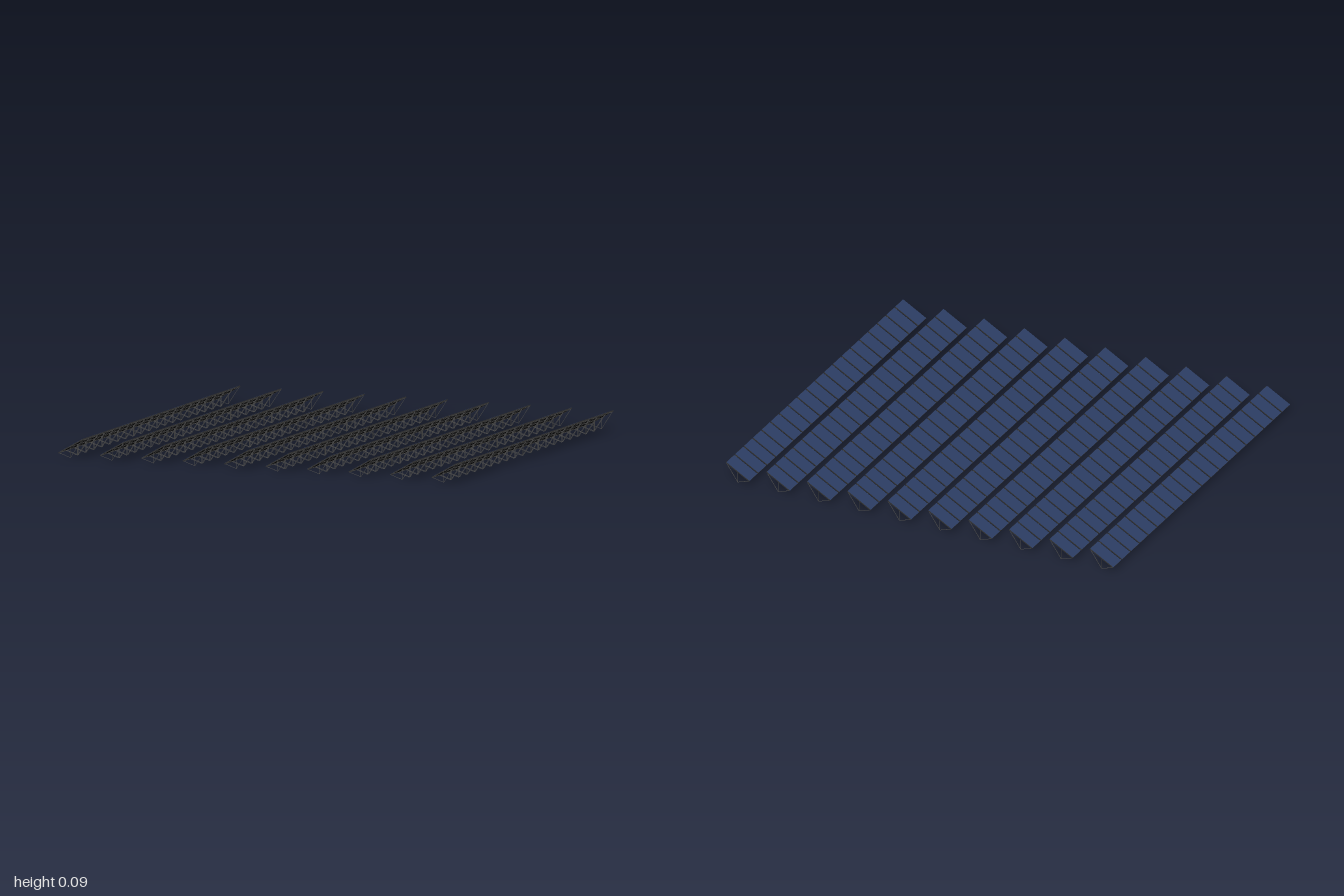
import * as THREE from 'three';

const ROWS = 10, PER_ROW = 20;
const ROW_PITCH = 0.2087, PANEL_PITCH = 0.0904;
const LENGTH = 0.139, DEPTH = 0.081, THICK = 0.005, TILT = Math.PI / 6;
const CENTRE_Y = 0.054, STRUT = 0.0018;

function rectangle(path, w, h) {
  path.moveTo(-w / 2, -h / 2);
  path.lineTo(w / 2, -h / 2);
  path.lineTo(w / 2, h / 2);
  path.lineTo(-w / 2, h / 2);
  path.closePath();
  return path;
}

function material(name, color) {
  const mat = new THREE.MeshStandardMaterial({ color });
  mat.name = name;
  return mat;
}

export function createModel() {
  const glassBlue = material('glass blue', 0x2d3e65);
  const backBlack = material('back black', 0x000000);
  const frameGrey = material('frame dark grey', 0x303030);
  const strutGrey = material('strut grey', 0x484848);

  // Panel rim, backing sheet and glass, all lying flat before the tilt
  const rim = rectangle(new THREE.Shape(), LENGTH, DEPTH);
  rim.holes.push(rectangle(new THREE.Path(), LENGTH - 0.003, DEPTH - 0.003));
  const frameGeo = new THREE.ExtrudeGeometry(rim, { depth: THICK, bevelEnabled: false });
  frameGeo.rotateX(-Math.PI / 2).translate(0, -THICK / 2, 0);
  const backGeo = new THREE.BoxGeometry(LENGTH - 0.003, 0.002, DEPTH - 0.003);
  const glassGeo = new THREE.BoxGeometry(LENGTH - 0.001, 0.0015, DEPTH - 0.001);
  const railGeo = new THREE.BoxGeometry(STRUT, STRUT, DEPTH - STRUT);

  // Struts run in the x-y plane from the foot to the sloping panel
  const onPanel = (d) => [d * Math.cos(TILT), CENTRE_Y + d * Math.sin(TILT) - 0.002];
  const foot = [0, STRUT / 2];
  const strutEnds = [onPanel(0), onPanel(LENGTH * 0.47), onPanel(-LENGTH * 0.47)];
  const strutNames = ['leg', 'upperBrace', 'lowerBrace'];
  const strutGeos = strutEnds.map(([x, y]) => {
    const dx = x - foot[0], dy = y - foot[1];
    const geo = new THREE.BoxGeometry(STRUT, Math.hypot(dx, dy), STRUT);
    geo.rotateZ(Math.atan2(dy, dx) - Math.PI / 2);
    return geo.translate((x + foot[0]) / 2, (y + foot[1]) / 2, 0);
  });

  function add(parent, name, geo, mat, x = 0, y = 0, z = 0) {
    const mesh = new THREE.Mesh(geo, mat);
    mesh.name = name;
    mesh.position.set(x, y, z);
    parent.add(mesh);
  }

  // One tilted panel on its two trestles, with cross rails under the panel
  const unit = new THREE.Group();
  unit.name = 'solarPanel';
  const tilted = new THREE.Group();
  tilted.name = 'tiltedPanel';
  tilted.position.y = CENTRE_Y;
  tilted.rotation.z = TILT;
  add(tilted, 'frame', frameGeo, frameGrey);
  add(tilted, 'backSheet', backGeo, backBlack);
  add(tilted, 'glass', glassGeo, glassBlue, 0, THICK / 2 - 0.0004, 0);
  for (const d of [-0.42, 0, 0.42]) {
    add(tilted, 'crossRail', railGeo, strutGrey, d * LENGTH, -0.0018, 0);
  }
  unit.add(tilted);
  for (const side of [-1, 1]) {
    strutGeos.forEach((geo, i) =>
      add(unit, strutNames[i], geo, strutGrey, 0, 0, side * (DEPTH / 2 - STRUT / 2)));
  }

  // Rows of panels
  const model = new THREE.Group();
  model.name = 'solarField';
  for (let r = 0; r < ROWS; r++) {
    const row = new THREE.Group();
    row.name = 'panelRow';
    row.position.x = (r - (ROWS - 1) / 2) * ROW_PITCH;
    for (let p = 0; p < PER_ROW; p++) {
      const panel = unit.clone();
      panel.position.z = (p - (PER_ROW - 1) / 2) * PANEL_PITCH;
      row.add(panel);
    }
    model.add(row);
  }
  return model;
}
